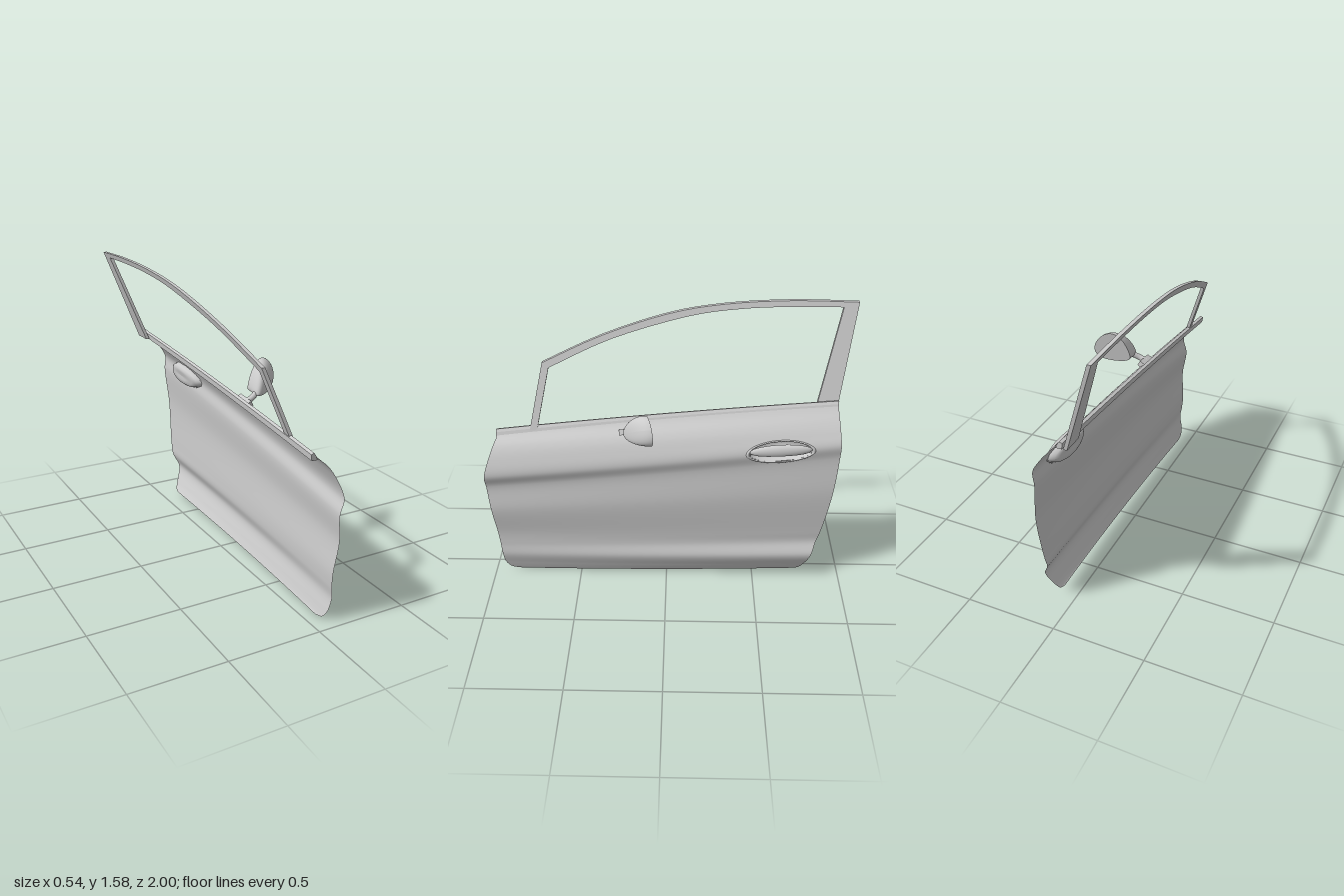
import * as THREE from 'three';

const mat = new THREE.MeshStandardMaterial({ color: 0xcccccc, side: THREE.DoubleSide });

// Grid surface from point(u, v) -> Vector3; skip(p) leaves a quad out
function loft(nu, nv, point, skip = () => false) {
  const pos = [], index = [];
  for (let i = 0; i <= nu; i++)
    for (let j = 0; j <= nv; j++) pos.push(...point(i / nu, j / nv, i, j).toArray());
  for (let i = 0; i < nu; i++)
    for (let j = 0; j < nv; j++) {
      if (skip(point((i + 0.5) / nu, (j + 0.5) / nv, i, j))) continue;
      const a = i * (nv + 1) + j, b = a + 1, c = a + nv + 1, d = c + 1;
      index.push(a, b, c, b, d, c);
    }
  const g = new THREE.BufferGeometry();
  g.setAttribute('position', new THREE.Float32BufferAttribute(pos, 3));
  g.setIndex(index);
  g.computeVertexNormals();
  return g;
}

function flat(g) {
  const f = g.toNonIndexed();
  f.computeVertexNormals();
  return f;
}

function part(name, geometry, parent) {
  const m = new THREE.Mesh(geometry, mat);
  m.name = name;
  parent.add(m);
  return m;
}

// Front and rear edges of the skin, matching points from belt line to sill
const curve = pts => new THREE.CatmullRomCurve3(pts.map(p => new THREE.Vector3(...p)));
const frontEdge = curve([
  [-0.025, 0.908, 0.93], [-0.01, 0.885, 0.925], [0.045, 0.84, 0.945], [0.085, 0.77, 0.972],
  [0.11, 0.68, 0.998], [0.09, 0.6, 0.998], [0.105, 0.45, 0.983], [0.09, 0.28, 0.965],
  [0.093, 0.2, 0.957], [0.1, 0.13, 0.95], [0.085, 0.06, 0.94], [0.075, 0.02, 0.912], [0.07, 0.005, 0.86]]);
const rearEdge = curve([
  [-0.045, 1.095, -0.915], [-0.012, 1.055, -0.915], [0.03, 1.01, -0.92], [0.068, 0.96, -0.925],
  [0.1, 0.9, -0.93], [0.095, 0.82, -0.93], [0.113, 0.6, -0.912], [0.105, 0.33, -0.87],
  [0.105, 0.26, -0.85], [0.135, 0.18, -0.825], [0.105, 0.09, -0.79], [0.085, 0.05, -0.765], [0.078, 0.038, -0.73]]);

// Point on the skin: t runs front to rear, v belt to sill
function skin(t, v) {
  const p = frontEdge.getPoint(v).lerp(rearEdge.getPoint(v), t);
  const bow = 4 * t * (1 - t);
  p.x += 0.012 * bow * Math.min(1, v * 5);
  p.y += 0.01 * bow * Math.max(0, 1 - v * 3);
  return p;
}

// Skin depth x at a given z, y
function skinX(z, y) {
  let lo = 0, hi = 1, p;
  for (let k = 0; k < 24; k++) {
    const v = (lo + hi) / 2, f = frontEdge.getPoint(v).z, r = rearEdge.getPoint(v).z;
    p = skin((f - z) / (f - r), v);
    if (p.y > y) lo = v; else hi = v;
  }
  return p.x;
}

// Handle recess ellipse on the skin
const cup = { z: -0.61, y: 0.86, rz: 0.168, ry: 0.058, tilt: 0.07 };
const cupPoint = (a, s) => {
  const dz = Math.cos(a) * cup.rz * s;
  return [cup.z - dz, cup.y + Math.sin(a) * cup.ry * s + dz * cup.tilt];
};
const inCup = p => {
  const dz = cup.z - p.z;
  return Math.hypot(dz / cup.rz, (p.y - cup.y - dz * cup.tilt) / cup.ry) < 1;
};

function windowFrame(parent) {
  const v2 = pts => pts.map(([z, y]) => new THREE.Vector2(-z, y));
  const outer = new THREE.SplineCurve(v2([[0.67, 1.26], [0.35, 1.4], [0, 1.51], [-0.3, 1.56], [-0.65, 1.58], [-1, 1.575]]));
  const inner = new THREE.SplineCurve(v2([[-0.92, 1.55], [-0.65, 1.55], [-0.38, 1.537], [-0.1, 1.497], [0.3, 1.383], [0.635, 1.235]]));
  const shape = new THREE.Shape([
    ...v2([[0.745, 0.91]]), ...outer.getPoints(20), ...v2([[-0.915, 1.06], [-0.803, 1.06]]),
    ...inner.getPoints(20), ...v2([[0.705, 0.91]])]);
  const g = new THREE.ExtrudeGeometry(shape, { depth: 0.02, bevelEnabled: false });
  g.rotateY(Math.PI / 2);
  // lean the frame inward towards the roof
  const p = g.attributes.position;
  for (let i = 0; i < p.count; i++) p.setX(i, p.getX(i) - 0.032 - 0.345 * (p.getY(i) - 0.92));
  g.computeVertexNormals();
  part('windowFrame', g, parent);
}

function doorHandle(parent) {
  const handle = new THREE.Group();
  handle.name = 'doorHandle';
  parent.add(handle);
  // recessed bowl with a raised rim: [scale, offset from skin]
  const rings = [[1.1, 0.001], [1.07, 0.007], [1.02, 0.007], [0.98, -0.005], [0.92, -0.028], [0.75, -0.045], [0.4, -0.05], [0, -0.05]];
  part('handleRecess', loft(64, rings.length - 1, (u, v, i, j) => {
    const [s, d] = rings[Math.min(j, rings.length - 1)];
    const [z, y] = cupPoint(u * Math.PI * 2, s);
    return new THREE.Vector3(skinX(z, y) + d, y, z);
  }), handle);
  // lens-shaped grip with a flattened lower edge
  const g = new THREE.SphereGeometry(1, 40, 24);
  const p = g.attributes.position;
  for (let i = 0; i < p.count; i++) p.setY(i, Math.max(p.getY(i), -0.6));
  g.scale(0.024, 0.036, 0.166);
  g.rotateX(cup.tilt);
  g.computeVertexNormals();
  part('handleGrip', g, handle).position.set(0.108, 0.872, cup.z);
}

function wingMirror(parent) {
  const mirror = new THREE.Group();
  mirror.name = 'wingMirror';
  parent.add(mirror);
  const foot = part('mirrorFoot', new THREE.BoxGeometry(0.03, 0.03, 0.11), mirror);
  foot.position.set(0.035, 0.937, 0.2);
  foot.rotation.set(0.1, 0, 0.5);
  const arm = new THREE.CatmullRomCurve3([
    new THREE.Vector3(0.03, 0.935, 0.21), new THREE.Vector3(0.07, 0.95, 0.21), new THREE.Vector3(0.13, 0.985, 0.18)]);
  part('mirrorArm', new THREE.TubeGeometry(arm, 12, 0.016, 12), mirror);

  // teardrop outline on the glass plane, s = size
  const outline = (a, s) => {
    const l = 0.1 * Math.cos(a) * s, w = 0.073 * Math.sin(a) * (1 + 0.45 * Math.cos(a)) * s;
    const x = 0.178 + l * 0.82 - w * 0.57, y = 1.028 + l * 0.57 + w * 0.82;
    return new THREE.Vector3(x, y, 0.13 - (x - 0.09) * 0.35);
  };
  // shell sweeps forward and down towards the arm
  part('mirrorShell', loft(40, 14, (u, v) => {
    const h = v * Math.PI / 2;
    const p = outline(u * Math.PI * 2, Math.cos(h));
    const k = Math.sin(h);
    return p.add(new THREE.Vector3(-0.05 * k * k, -0.05 * k * k, 0.125 * k));
  }), mirror);
  part('mirrorGlass', loft(40, 1, (u, v) => outline(u * Math.PI * 2, 1 - v)), mirror);
}

export function createModel() {
  const door = new THREE.Group();
  door.name = 'carDoor';

  part('doorSkin', loft(120, 96, skin, inCup), door);

  // belt trim: faceted strip along the top edge, pinched shut at both ends
  const section = [[-0.012, -0.004], [0.004, 0.002], [0.014, -0.012], [0.024, -0.036], [-0.008, -0.036], [-0.012, -0.004]];
  const n = 32;
  part('beltTrim', flat(loft(n, 5, (u, v, i, j) => {
    const t = THREE.MathUtils.clamp((i - 1) / (n - 2), 0, 1);
    const s = i === 0 || i === n ? 0 : 1;
    const [dx, dy] = section[j];
    return skin(t, 0).add(new THREE.Vector3(dx * s, dy * s - 0.018 * (1 - s), 0));
  })), door);

  windowFrame(door);
  doorHandle(door);
  wingMirror(door);
  return door;
}
